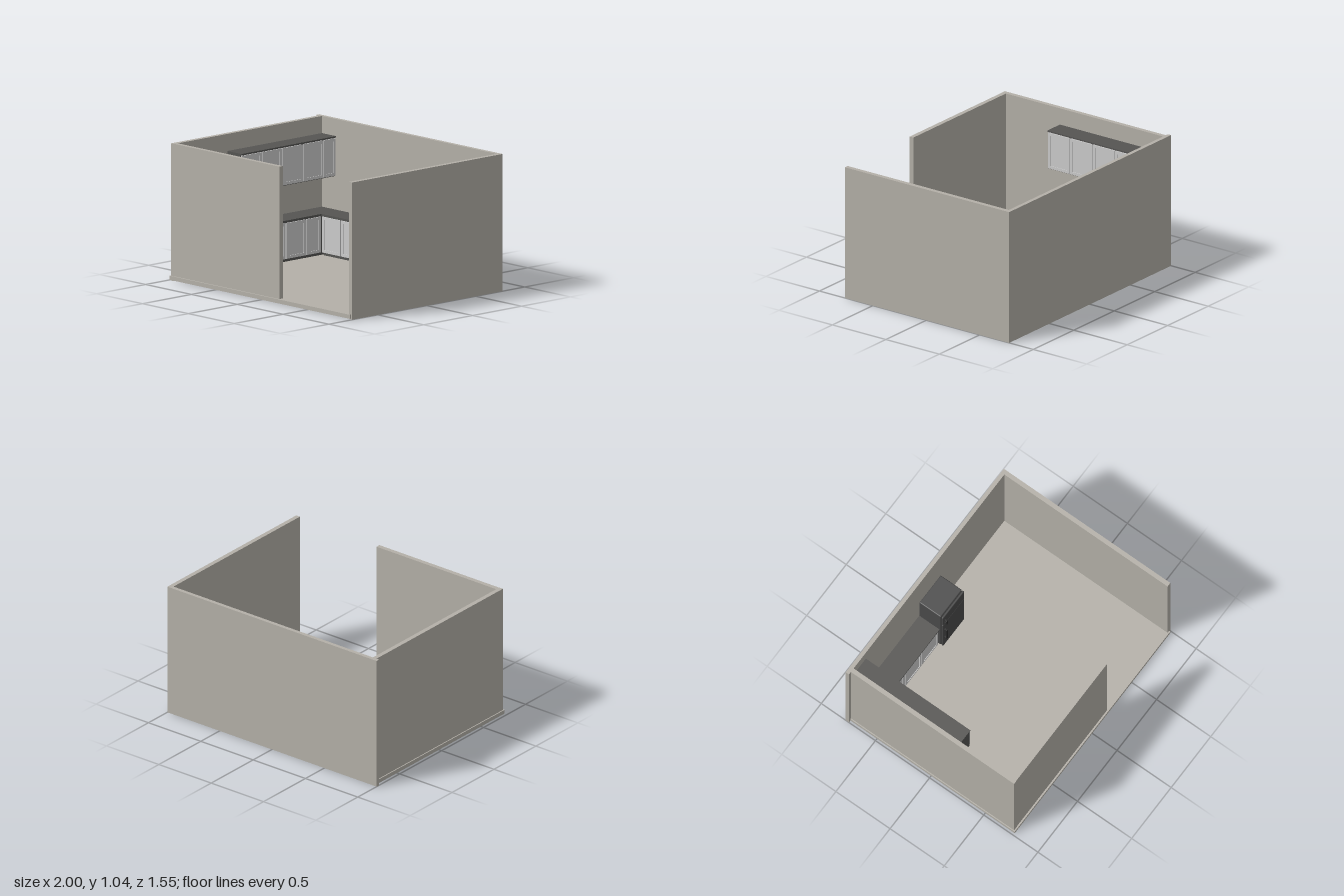
import * as THREE from 'three';
import { RoundedBoxGeometry } from 'three/addons/geometries/RoundedBoxGeometry.js';

const mat = (color) => new THREE.MeshStandardMaterial({ color });
const wallMat = mat(0xb4b0a8);
const carcassMat = mat(0x555452);
const frontMat = mat(0xdcdcdc);
const fridgeMat = mat(0x4a4a4a);
const handleMat = mat(0x2c2c2c);

// Box given by its minimum and maximum corners; an optional radius rounds it
function box(name, material, [x0, y0, z0], [x1, y1, z1], radius = 0) {
  const size = [x1 - x0, y1 - y0, z1 - z0];
  const geo = radius ? new RoundedBoxGeometry(...size, 3, radius) : new THREE.BoxGeometry(...size);
  const mesh = new THREE.Mesh(geo, material);
  mesh.name = name;
  mesh.position.set((x0 + x1) / 2, (y0 + y1) / 2, (z0 + z1) / 2);
  return mesh;
}

function rect(path, x0, y0, x1, y1) {
  path.moveTo(x0, y0);
  path.lineTo(x1, y0);
  path.lineTo(x1, y1);
  path.lineTo(x0, y1);
  path.closePath();
  return path;
}

// Framed door with a recessed panel, facing +z
function cabinetDoor(x0, x1, y0, y1, z) {
  const door = new THREE.Group();
  door.name = 'cabinetDoor';
  const gap = 0.004, rail = 0.022, t = 0.01;
  const [a, b, c, d] = [x0 + gap, x1 - gap, y0 + gap, y1 - gap];
  const shape = rect(new THREE.Shape(), a, c, b, d);
  shape.holes.push(rect(new THREE.Path(), a + rail, c + rail, b - rail, d - rail));
  const frame = new THREE.Mesh(
    new THREE.ExtrudeGeometry(shape, { depth: t, bevelEnabled: false }), frontMat);
  frame.name = 'doorFrame';
  frame.position.z = z;
  door.add(frame, box('doorPanel', frontMat,
    [a + rail, c + rail, z], [b - rail, d - rail, z + t * 0.5]));
  return door;
}

// Row of doors between successive x positions
function addDoors(group, edges, y0, y1, z) {
  for (let i = 0; i + 1 < edges.length; i++) {
    group.add(cabinetDoor(edges[i], edges[i + 1], y0, y1, z));
  }
}

// Base units: plinth, carcass, worktop and doors; back at z = 0, front at z = depth
function baseRun(name, length, depth, edges) {
  const run = new THREE.Group();
  run.name = name;
  run.add(
    box('plinth', carcassMat, [0, 0.037, 0], [length, 0.06, depth - 0.025]),
    box('carcass', carcassMat, [0, 0.055, 0], [length, 0.34, depth - 0.013]),
    box('worktop', carcassMat, [0, 0.34, 0], [length, 0.355, depth]));
  addDoors(run, edges, 0.058, 0.338, depth - 0.013);
  return run;
}

function wallRun(name, length, depth, edges) {
  const run = new THREE.Group();
  run.name = name;
  const split = 0.42;
  run.add(
    box('upperCarcass', carcassMat, [0, 0.61, 0], [split - 0.001, 0.915, depth - 0.01]),
    box('upperCarcass', carcassMat, [split + 0.001, 0.61, 0], [length, 0.915, depth - 0.01]),
    box('upperTop', carcassMat, [0, 0.905, 0], [length, 0.915, depth]));
  addDoors(run, edges, 0.612, 0.904, depth - 0.01);
  return run;
}

// Upright handle standing off the fridge door on two posts
function handle(x, y0, y1, z) {
  const g = new THREE.Group();
  g.name = 'fridgeHandle';
  g.add(box('grip', handleMat, [x - 0.007, y0, z + 0.015], [x + 0.007, y1, z + 0.026], 0.003));
  for (const y of [y0 + 0.004, y1 - 0.016]) {
    g.add(box('handlePost', handleMat, [x - 0.006, y, z - 0.002], [x + 0.006, y + 0.012, z + 0.018]));
  }
  return g;
}

function fridge() {
  const g = new THREE.Group();
  g.name = 'fridge';
  const x0 = -0.11, x1 = 0.16, front = -0.525;
  g.add(
    box('fridgeBody', fridgeMat, [x0, 0.037, -0.745], [x1, 0.64, -0.547], 0.008),
    box('doorSeal', handleMat, [x0 + 0.006, 0.05, -0.55], [x1 - 0.006, 0.63, -0.538]),
    box('fridgeDoor', fridgeMat, [x0, 0.045, -0.541], [x1, 0.485, front], 0.006),
    box('freezerDoor', fridgeMat, [x0, 0.491, -0.541], [x1, 0.64, front], 0.006),
    handle(x0 + 0.018, 0.21, 0.39, front),
    handle(x0 + 0.018, 0.525, 0.59, front));
  return g;
}

export function createModel() {
  const model = new THREE.Group();
  model.name = 'kitchenRoom';
  const H = 1.045;

  // Floor slab and walls, open at the front right
  model.add(
    box('floor', wallMat, [-0.983, 0.006, -0.77], [0.985, 0.037, 0.773]),
    box('backWall', wallMat, [-1, 0, -0.775], [1, H, -0.745]),
    box('rightWall', wallMat, [-0.975, 0, -0.745], [-0.94, H, 0.762]),
    box('leftWall', wallMat, [0.965, 0, -0.745], [1, H, 0.762]),
    box('frontWall', wallMat, [-0.94, 0.01, 0.725], [0.203, H, 0.76]));

  // Side runs, turned to face +x
  const sideEdges = [0, 0.21, 0.42, 0.63];
  const sideBase = baseRun('sideBaseCabinets', 0.965, 0.195, [...sideEdges, 0.78]);
  const sideUpper = wallRun('sideUpperCabinets', 0.965, 0.155, [...sideEdges, 0.84, 0.965]);
  for (const run of [sideBase, sideUpper]) {
    run.rotation.y = Math.PI / 2;
    run.position.set(-0.94, 0, 0.22);
    model.add(run);
  }

  // Run along the back wall, up to the fridge
  const backBase = baseRun('backBaseCabinets', 0.635, 0.187, [0, 0.205, 0.415, 0.625]);
  backBase.position.set(-0.745, 0, -0.745);
  model.add(backBase, fridge());

  return model;
}
